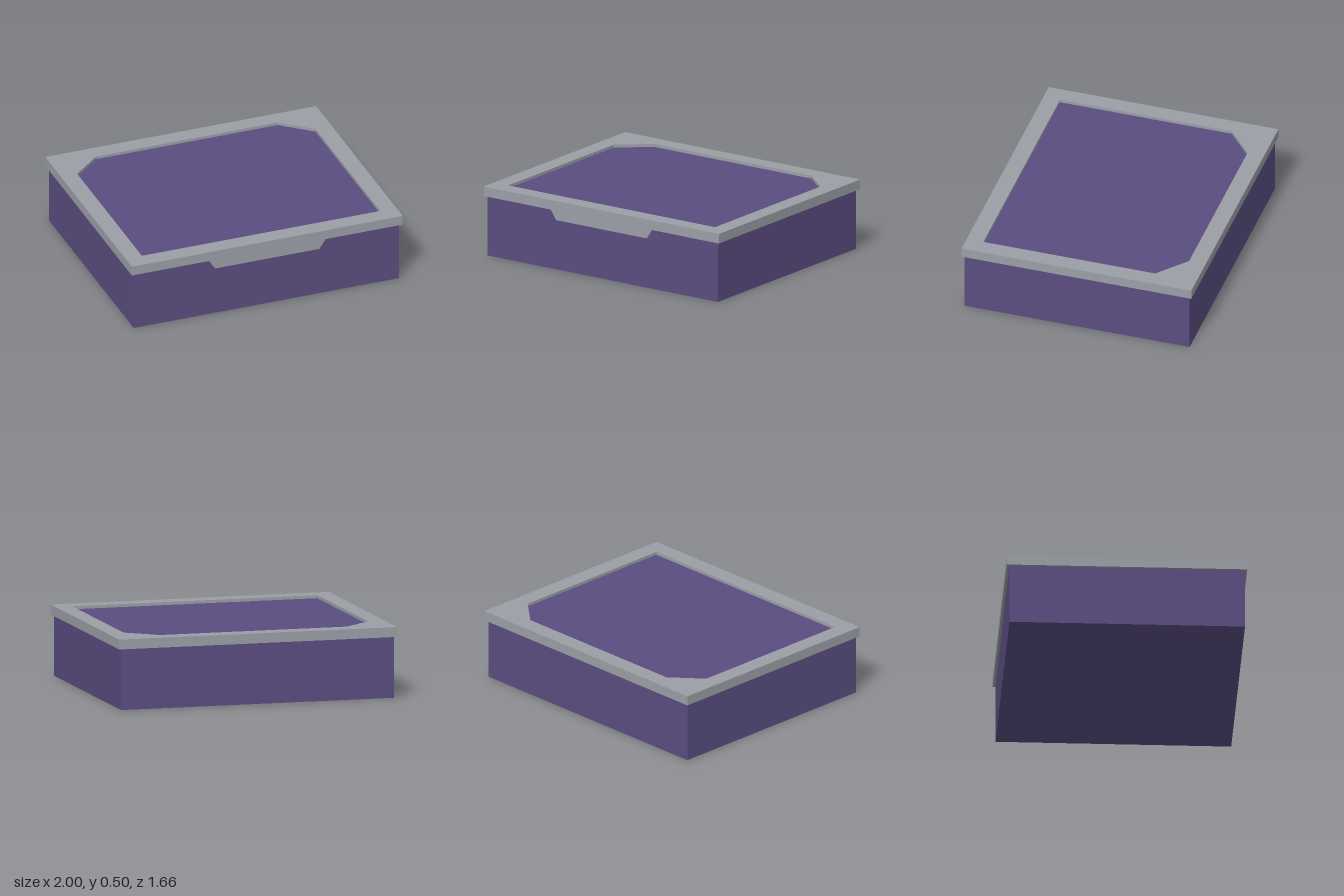
import * as THREE from 'three';

const purple = new THREE.MeshStandardMaterial({ name: 'purple', color: 0x5a4d80 });
const grey = new THREE.MeshStandardMaterial({ name: 'grey', color: 0x9b9fa6 });

// Outline of the recessed panel in x and -z, with the two rear corners cut off
const panelOutline = [[-0.88, -0.71], [0.88, -0.71], [0.88, 0.53], [0.67, 0.71], [-0.67, 0.71], [-0.88, 0.53]];
const points = (list) => list.map(([x, y]) => new THREE.Vector2(x, y));

function addMesh(group, name, geometry, material) {
  const mesh = new THREE.Mesh(geometry, material);
  mesh.name = name;
  group.add(mesh);
  return mesh;
}

// Horizontal slab extruded upward from y = bottom to y = top
function slab(shape, bottom, top) {
  return new THREE.ExtrudeGeometry(shape, { depth: top - bottom, bevelEnabled: false })
    .rotateX(-Math.PI / 2)
    .translate(0, bottom, 0);
}

export function createModel() {
  const group = new THREE.Group();
  group.name = 'shallowBox';

  // Box body
  const body = addMesh(group, 'body', new THREE.BoxGeometry(1.96, 0.426, 1.626), purple);
  body.position.set(0, 0.213, 0.002);

  // Lid rim, a rectangle with the panel opening cut through it
  const rim = new THREE.Shape(points([[-1, -0.83], [1, -0.83], [1, 0.83], [-1, 0.83]]));
  rim.holes.push(new THREE.Path(points(panelOutline)));
  addMesh(group, 'lidRim', slab(rim, 0.426, 0.495), grey);

  // Panel sunk slightly below the rim
  addMesh(group, 'lidPanel', slab(new THREE.Shape(points(panelOutline)), 0.426, 0.474), purple);

  // Tapered tab hanging from the front of the rim
  const tab = new THREE.Shape(points([[-0.385, 0.358], [0.385, 0.358], [0.43, 0.426], [-0.43, 0.426]]));
  const tabGeometry = new THREE.ExtrudeGeometry(tab, { depth: 0.015, bevelEnabled: false });
  addMesh(group, 'frontTab', tabGeometry, grey).position.z = 0.815;

  return group;
}
